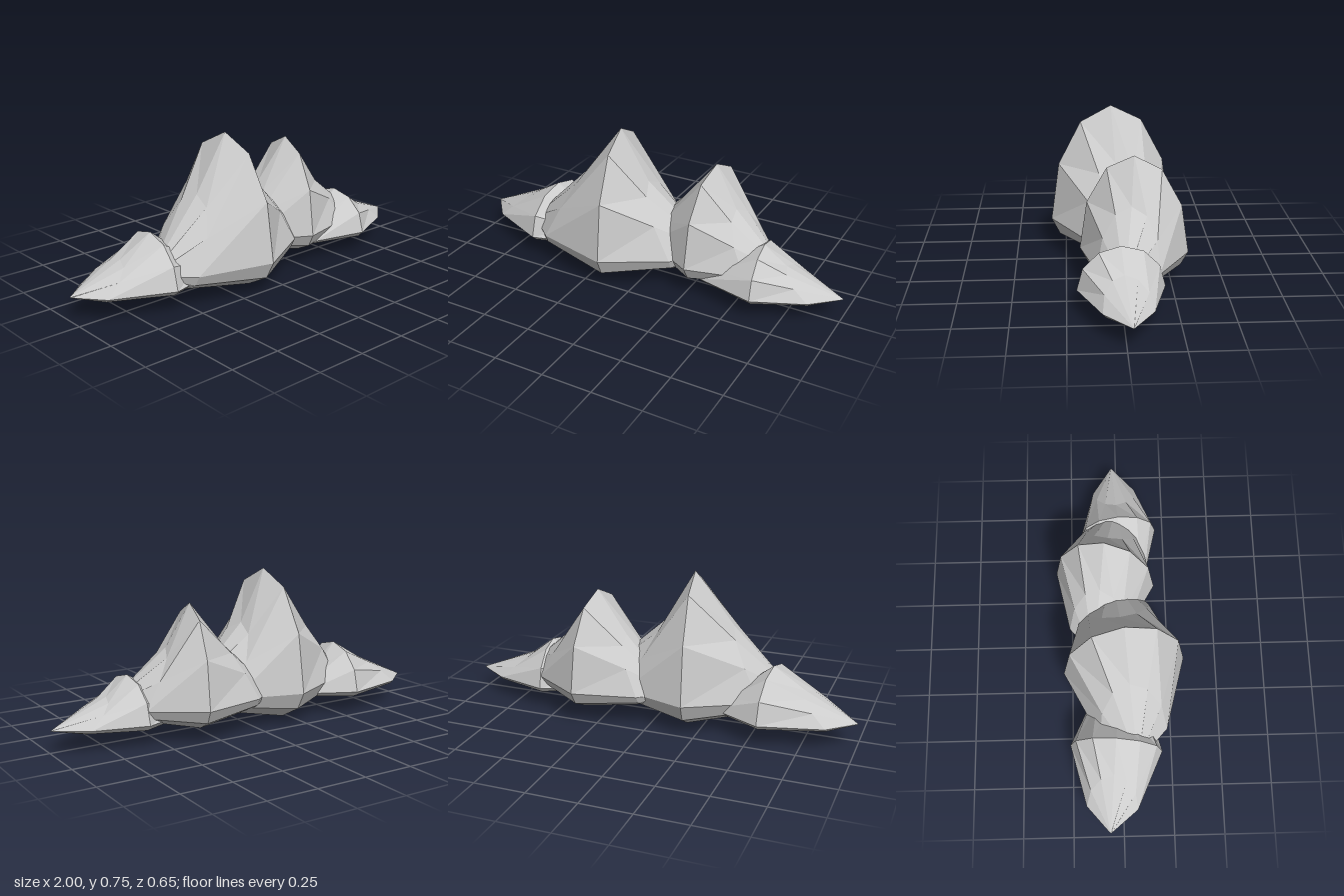
import * as THREE from 'three';

const SIDES = 12;

// One faceted peak: twelve-sided rings lofted along x, tapering to a point at both ends.
// The upper part of each middle ring is pulled toward the ridge so the slopes turn concave.
function peakGeometry({ length, width, up, down }) {
  // [x of ring's sides and underside, x of its crest, size], x as a share of the half length
  const rings = [
    [-1, -1, 0.015],
    [-0.71, -0.39, 0.55],
    [0, 0, 1],
    [0.64, 0.29, 0.56],
    [1, 1, 0.015],
  ];
  const positions = [];
  const index = [];
  rings.forEach(([side, crest, size], i) => {
    for (let j = 0; j < SIDES; j++) {
      const a = (j / SIDES) * Math.PI * 2;
      const c = Math.cos(a);
      const x = THREE.MathUtils.lerp(side, crest, Math.max(0, c)) * length;
      positions.push(x, c * size * (c > 0 ? up : down), Math.sin(a) * size * width);
      if (i < rings.length - 1) {
        const k = (j + 1) % SIDES;
        const p = i * SIDES;
        const q = p + SIDES;
        index.push(p + j, p + k, q + j, p + k, q + k, q + j);
      }
    }
  });
  // Close the tiny end rings
  const last = (rings.length - 1) * SIDES;
  for (let j = 1; j < SIDES - 1; j++) {
    index.push(0, j + 1, j, last, last + j, last + j + 1);
  }
  const indexed = new THREE.BufferGeometry();
  indexed.setAttribute('position', new THREE.Float32BufferAttribute(positions, 3));
  indexed.setIndex(index);
  const geometry = indexed.toNonIndexed();
  geometry.computeVertexNormals();
  return geometry;
}

export function createModel() {
  const group = new THREE.Group();
  group.name = 'mountainRange';
  const rock = new THREE.MeshStandardMaterial({ color: 0xcccccc, flatShading: true });

  // Overlapping peaks from right to left, each turned slightly
  const peaks = [
    { name: 'rightFoothill', at: [-0.58, 0.12, -0.03], turn: -0.087, length: 0.42, width: 0.23, up: 0.22, down: 0.055 },
    { name: 'mainPeak', at: [-0.165, 0.17, 0.017], turn: 0.114, length: 0.5, width: 0.307, up: 0.585, down: 0.168 },
    { name: 'secondPeak', at: [0.31, 0.172, -0.07], turn: -0.157, length: 0.42, width: 0.257, up: 0.465, down: 0.127 },
    { name: 'leftFoothill', at: [0.605, 0.113, 0.005], turn: 0.076, length: 0.396, width: 0.2, up: 0.201, down: 0.055 },
  ];
  for (const peak of peaks) {
    const mesh = new THREE.Mesh(peakGeometry(peak), rock);
    mesh.name = peak.name;
    mesh.position.set(...peak.at);
    mesh.rotation.y = peak.turn;
    group.add(mesh);
  }
  return group;
}
